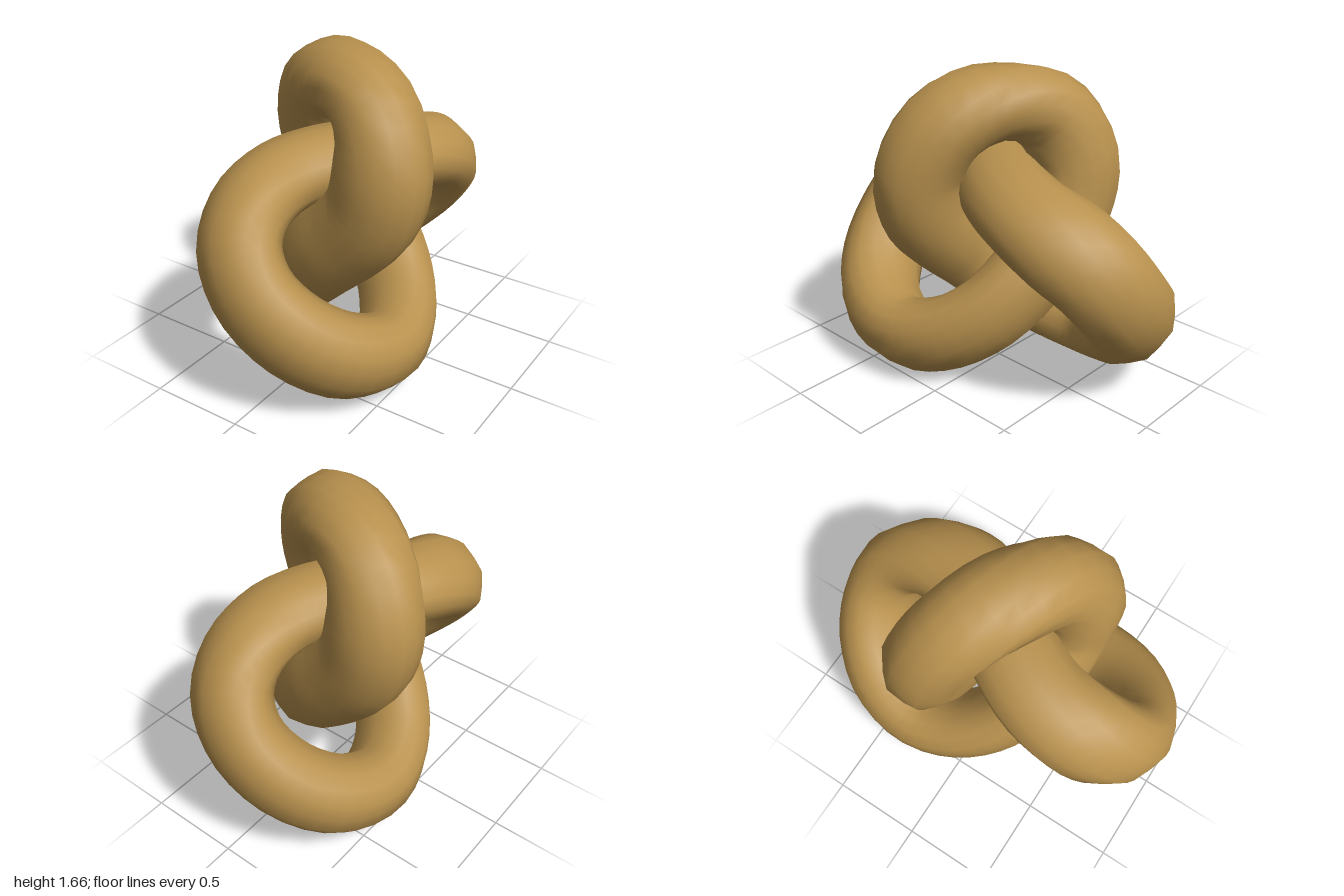
import * as THREE from 'three';

// Half of the knot's centreline, from the top of the arch to the inner bridge.
// Each row: position x y z, wide axis of the section x y z, half width, half thickness
const HALF = [
  [0, 1.472, 0, 0, 1, 0, 0.184, 0.228],           // top of arch
  [0.24, 1.383, 0.13, 0.75, 0.65, 0, 0.21, 0.224],
  [0.342, 1.14, 0.23, 1, 0, 0, 0.24, 0.216],      // side of arch
  [0.3, 0.92, 0.245, 0.9, -0.42, 0, 0.24, 0.207],
  [0.17, 0.76, 0.24, 0.72, -0.7, 0, 0.24, 0.2],
  [0, 0.6, 0.225, 0.7, -0.7, 0, 0.237, 0.192],    // leg passing through the side loop
  [-0.2, 0.4, 0.125, 0.7, -0.7, 0, 0.235, 0.185],
  [-0.355, 0.26, -0.07, 0.7, -0.7, 0, 0.235, 0.182],
  [-0.422, 0.21, -0.3, 0.7, -0.7, 0.1, 0.235, 0.185], // foot
  [-0.36, 0.285, -0.565, 0.7, -0.7, 0.22, 0.237, 0.2],
  [-0.19, 0.44, -0.745, 0.7, -0.7, 0.33, 0.237, 0.198],
  [0, 0.63, -0.805, 0.72, -0.7, 0.35, 0.237, 0.19], // tip of side loop
  [0.13, 0.81, -0.745, 0.8, -0.6, 0.27, 0.24, 0.188],
  [0.195, 0.945, -0.565, 0.92, -0.4, 0.12, 0.245, 0.186],
  [0.18, 1.02, -0.34, 1, -0.2, 0, 0.24, 0.18],
  [0.1, 1.045, -0.15, 1, -0.08, 0, 0.235, 0.18],
  [0, 1.05, 0, 1, 0, 0, 0.23, 0.18],              // inner bridge
];

// Closed tube with a rounded octagonal section whose flats lie on the section axes
function createKnotGeometry(rings) {
  const sides = 16;
  const points = [], axes = [], sizes = [];
  for (const [x, y, z, ux, uy, uz, a, b] of HALF) {
    points.push(new THREE.Vector3(x, y, z));
    axes.push(new THREE.Vector3(ux, uy, uz));
    sizes.push(new THREE.Vector3(a, b, 0));
  }
  // Second half: the first turned by 180 degrees about y
  for (let i = HALF.length - 2; i >= 0; i--) {
    const p = points[i], u = axes[i];
    if (i > 0) points.push(new THREE.Vector3(-p.x, p.y, -p.z));
    axes.push(new THREE.Vector3(u.x, -u.y, u.z));
    sizes.push(sizes[i].clone());
  }
  const path = new THREE.CatmullRomCurve3(points, true);
  const axisCurve = new THREE.CatmullRomCurve3(axes, false, 'catmullrom');
  const sizeCurve = new THREE.CatmullRomCurve3(sizes, false, 'catmullrom');

  const position = [], index = [];
  for (let i = 0; i < rings; i++) {
    const t = i / rings;
    const centre = path.getPoint(t), tangent = path.getTangent(t);
    const u = axisCurve.getPoint(t), size = sizeCurve.getPoint(t);
    u.addScaledVector(tangent, -u.dot(tangent)).normalize();
    const v = new THREE.Vector3().crossVectors(tangent, u);
    for (let j = 0; j < sides; j++) {
      const angle = (j / sides) * Math.PI * 2;
      const radius = j % 2 ? 1.045 : 1; // odd vertices are the octagon's corners
      const p = centre.clone()
        .addScaledVector(u, Math.cos(angle) * size.x * radius)
        .addScaledVector(v, Math.sin(angle) * size.y * radius);
      position.push(p.x, p.y, p.z);
    }
  }
  // The section makes a half turn along the loop, so the last ring joins the first half a turn on
  const id = (i, j) => i < rings
    ? i * sides + (j % sides)
    : (j + sides / 2) % sides;
  for (let i = 0; i < rings; i++) {
    for (let j = 0; j < sides; j++) {
      const a = id(i, j), b = id(i, j + 1), c = id(i + 1, j), d = id(i + 1, j + 1);
      index.push(a, b, c, b, d, c);
    }
  }
  const geometry = new THREE.BufferGeometry();
  geometry.setAttribute('position', new THREE.Float32BufferAttribute(position, 3));
  geometry.setIndex(index);
  geometry.computeVertexNormals();
  return geometry;
}

export function createModel() {
  const group = new THREE.Group();
  group.name = 'trefoilKnot';
  const ochre = new THREE.MeshStandardMaterial({ color: 0xb8914e });
  ochre.name = 'ochre';
  const knot = new THREE.Mesh(createKnotGeometry(112), ochre);
  knot.name = 'knottedTube';
  group.add(knot);
  return group;
}
